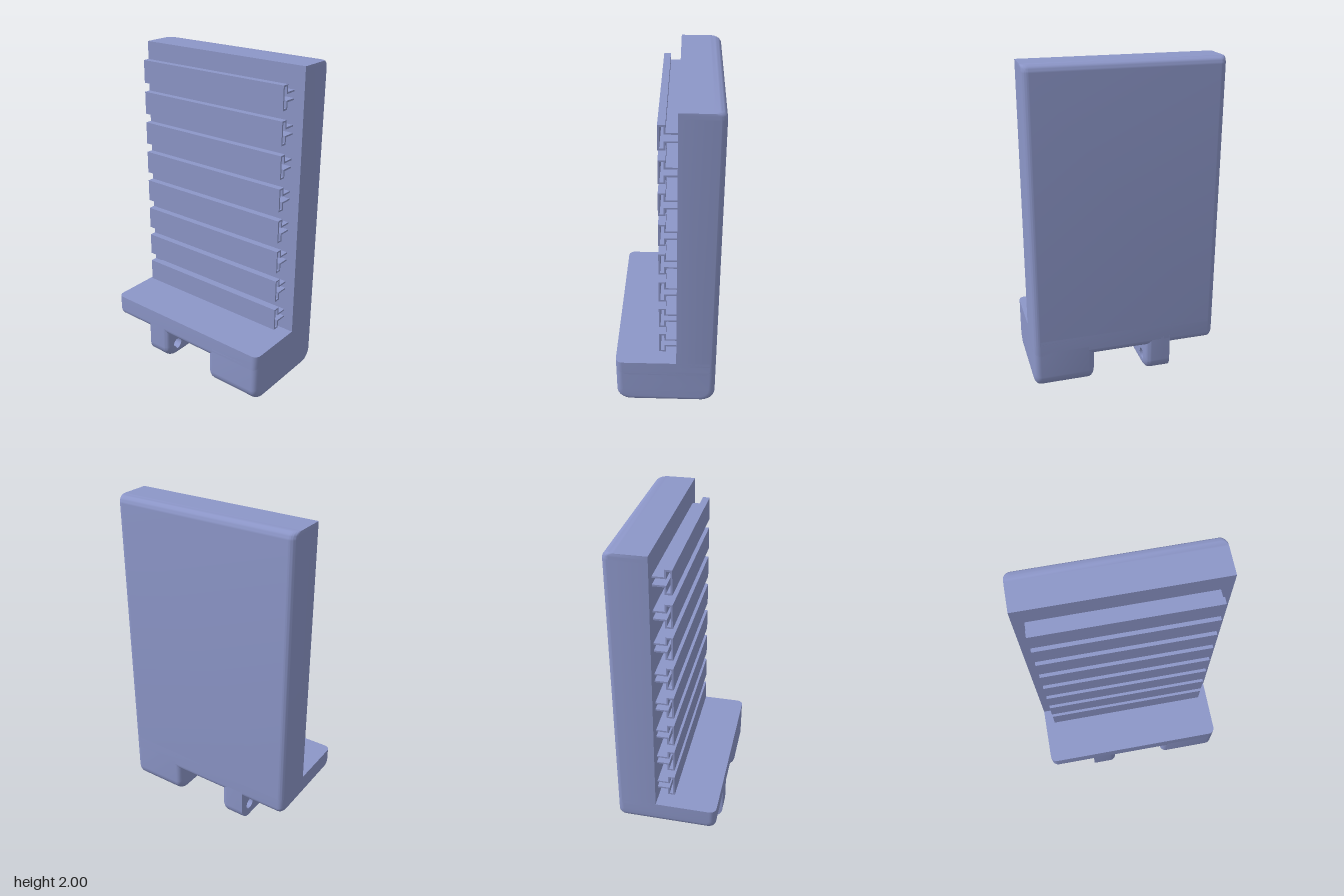
import * as THREE from 'three';
import { toCreasedNormals } from 'three/addons/utils/BufferGeometryUtils.js';

const material = new THREE.MeshStandardMaterial({ color: 0x8c96c8 });
const DEPTH = 0.31;    // half depth of the base
const FILLET = 0.04;   // radius of the rounded edges
const N = 6;           // segments per rounded edge

function addMesh(parent, name, geometry) {
  const mesh = new THREE.Mesh(toCreasedNormals(geometry, 0.6), material);
  mesh.name = name;
  parent.add(mesh);
  return mesh;
}

// Position along an extrusion and inset of the outline for station s of 0..2N+1
function station(s, length) {
  const atStart = s <= N;
  const a = ((atStart ? s : 2 * N + 1 - s) / N) * Math.PI / 2;
  const offset = FILLET * (1 - Math.cos(a));
  return { atStart, at: atStart ? offset : length - offset, inset: FILLET * (1 - Math.sin(a)) };
}

// Extrudes a shape along z and moves each vertex by a rule
function filletedExtrude(shape, length, rule) {
  const steps = 2 * N + 1;
  const geometry = new THREE.ExtrudeGeometry(shape, { depth: 1, steps, bevelEnabled: false, curveSegments: 10 });
  const p = geometry.attributes.position;
  for (let i = 0; i < p.count; i++) {
    const st = station(Math.round(p.getZ(i) * steps), length);
    const [x, y] = rule(p.getX(i), p.getY(i), st);
    p.setXYZ(i, x, y, st.at);
  }
  return geometry;
}

// Block running along x, with rounded lower edges and rounded ends
function baseBlock(x0, x1, y0, y1, radius, { holes = [], holeY = 0, holeR = 0, roundStart = true } = {}) {
  const shape = new THREE.Shape();
  shape.moveTo(-DEPTH, y1);
  shape.lineTo(-DEPTH, y0 + radius);
  shape.absarc(-DEPTH + radius, y0 + radius, radius, Math.PI, Math.PI * 1.5, false);
  shape.lineTo(DEPTH - radius, y0);
  shape.absarc(DEPTH - radius, y0 + radius, radius, Math.PI * 1.5, Math.PI * 2, false);
  shape.lineTo(DEPTH, y1);
  shape.closePath();
  for (const h of holes) {
    const path = new THREE.Path();
    path.absarc(h, holeY, holeR, 0, Math.PI * 2, true);
    shape.holes.push(path);
  }
  const height = y1 - y0;
  const geometry = filletedExtrude(shape, x1 - x0, (a, y, st) => {
    const onHole = holes.some((h) => Math.hypot(a - h, y - holeY) < holeR + 0.002);
    if (onHole || (st.atStart && !roundStart)) return [a, y];
    return [a * (1 - st.inset / DEPTH), y1 - (y1 - y) * (1 - st.inset / height)];
  });
  return geometry.rotateY(Math.PI / 2).translate(x0, 0, 0);
}

// Upright panel, rounded on its back corners and back top edge
function panelGeometry(halfWidth, y0, y1, front, back) {
  const r = FILLET;
  const shape = new THREE.Shape();
  shape.moveTo(-halfWidth, front);
  shape.lineTo(halfWidth, front);
  shape.lineTo(halfWidth, back - r);
  shape.absarc(halfWidth - r, back - r, r, 0, Math.PI / 2, false);
  shape.lineTo(-halfWidth + r, back);
  shape.absarc(-halfWidth + r, back - r, r, Math.PI / 2, Math.PI, false);
  shape.closePath();
  const geometry = filletedExtrude(shape, y1 - y0, (x, b, st) =>
    [x, st.atStart ? b : front + (b - front) * (1 - st.inset / (back - front))]);
  return geometry.rotateX(-Math.PI / 2).translate(0, y0, 0);
}

// Hollow T-shaped rail, open at the back between its two arms
function railGeometry(width) {
  const outer = [[-0.065, 0.0285], [0, 0.0285], [0, 0.071], [0.042, 0.071]];
  const inner = [[-0.065, 0.0185], [0.01, 0.0185], [0.01, 0.061], [0.032, 0.061]];
  const flip = (points) => points.map(([z, y]) => [z, -y]);
  const outline = [...outer, ...flip(outer).reverse(), ...flip(inner), ...inner.slice().reverse()];
  const shape = new THREE.Shape(outline.map(([z, y]) => new THREE.Vector2(-z, y)));
  const geometry = new THREE.ExtrudeGeometry(shape, { depth: width, bevelEnabled: false });
  return geometry.rotateY(Math.PI / 2).translate(-width / 2, 0, 0);
}

export function createModel() {
  const model = new THREE.Group();
  model.name = 'railStand';

  // Upright back and base shelf
  addMesh(model, 'backPanel', panelGeometry(0.585, 0.3, 2, 0.065, DEPTH));
  addMesh(model, 'baseShelf', baseBlock(-0.585, 0.585, 0.19, 0.33, FILLET));

  // Wide foot, and narrow foot drilled across
  addMesh(model, 'wideFoot', baseBlock(0.205, 0.585, 0, 0.25, 0.08));
  addMesh(model, 'drilledFoot', baseBlock(-0.29, -0.13, 0, 0.25, 0.08,
    { holes: [-0.22, 0, 0.22], holeY: 0.085, holeR: 0.037, roundStart: false }));

  // Eight rails up the front of the panel
  const rails = new THREE.Group();
  rails.name = 'rails';
  const rail = railGeometry(1.04);
  for (let i = 0; i < 8; i++) {
    addMesh(rails, 'rail', rail).position.y = 0.442 + i * 0.199;
  }
  model.add(rails);
  return model;
}
